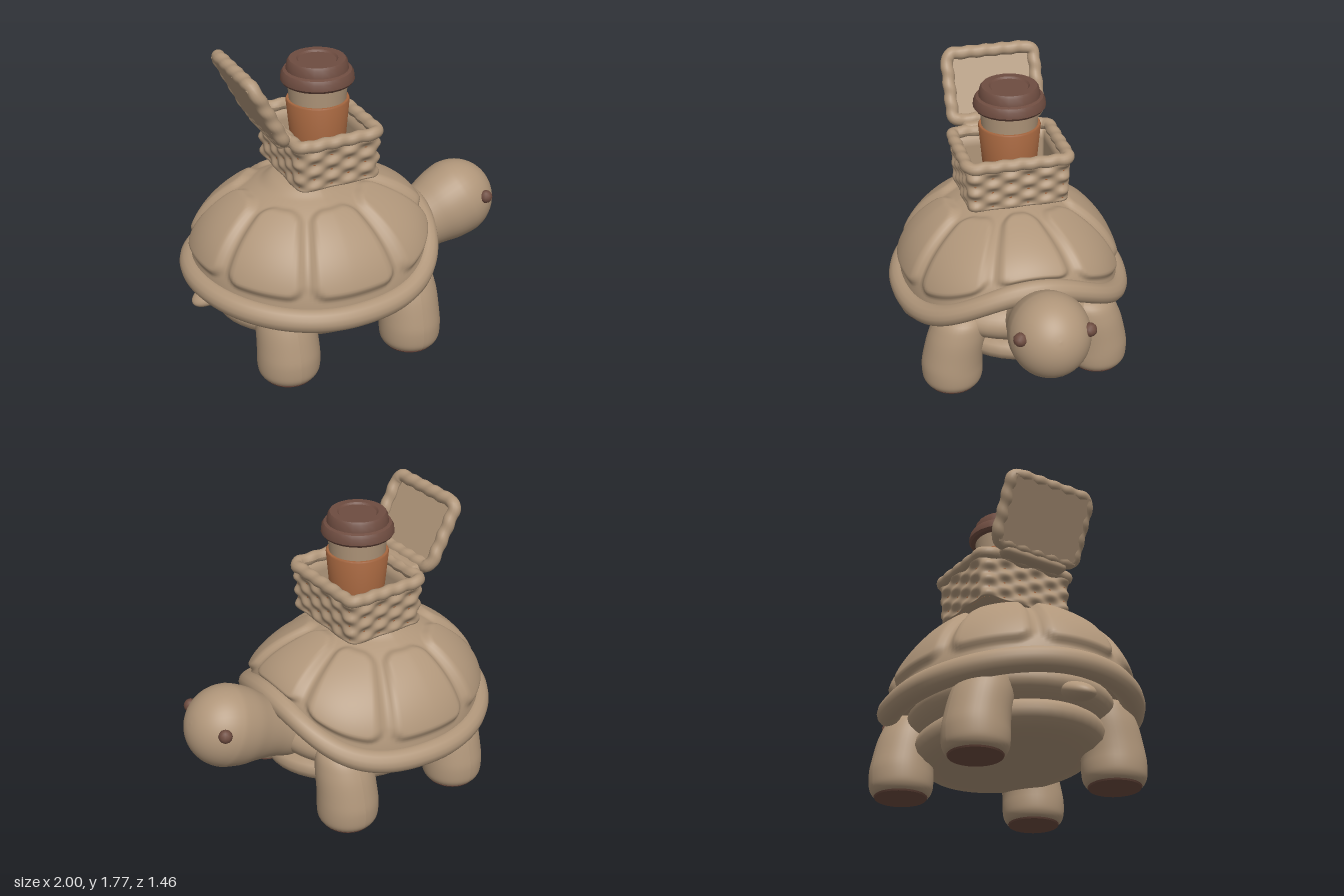
import * as THREE from 'three';
import { toCreasedNormals } from 'three/addons/utils/BufferGeometryUtils.js';
import { RoundedBoxGeometry } from 'three/addons/geometries/RoundedBoxGeometry.js';

const TAU = Math.PI * 2;
const mat = (name, color) => {
  const m = new THREE.MeshStandardMaterial({ color });
  m.name = name;
  return m;
};
const { lerp, smoothstep } = THREE.MathUtils;

// Grid wrapped around u (0..1), open along v (0..1); fn returns [x, y, z]
function wrapGrid(nu, nv, fn) {
  const pos = [], idx = [];
  for (let j = 0; j <= nv; j++)
    for (let i = 0; i < nu; i++) pos.push(...fn(i / nu, j / nv, i));
  for (let j = 0; j < nv; j++)
    for (let i = 0; i < nu; i++) {
      const k = (i + 1) % nu, a = j * nu + i, b = j * nu + k, c = a + nu, d = b + nu;
      idx.push(a, c, b, b, c, d);
    }
  const g = new THREE.BufferGeometry();
  g.setAttribute('position', new THREE.Float32BufferAttribute(pos, 3));
  g.setIndex(idx);
  g.computeVertexNormals();
  return g;
}

// Rounded rectangle in XZ as evenly spaced points with outward normals
function roundedLoop(hx, hz, r, n) {
  const s = new THREE.Shape();
  s.moveTo(hx, 0);
  s.lineTo(hx, hz - r);
  s.absarc(hx - r, hz - r, r, 0, Math.PI / 2);
  s.absarc(r - hx, hz - r, r, Math.PI / 2, Math.PI);
  s.absarc(r - hx, r - hz, r, Math.PI, Math.PI * 1.5);
  s.absarc(hx - r, r - hz, r, Math.PI * 1.5, TAU);
  s.lineTo(hx, 0);
  const pts = s.getSpacedPoints(n).slice(0, n);
  return pts.map((p, i) => {
    const t = pts[(i + 1) % n].clone().sub(pts[(i + n - 1) % n]).normalize();
    return { x: p.x, z: p.y, nx: t.y, nz: -t.x };
  });
}

// Rope-like ring following a loop, with twisted strands
function ropeRing(loop, radius, strands, amp) {
  return wrapGrid(loop.length, 14, (u, v, i) => {
    const p = loop[i], f = -Math.PI + v * TAU;
    const r = radius + amp * Math.sin(strands * u * TAU + f);
    return [p.x + p.nx * r * Math.cos(f), (p.y || 0) + r * Math.sin(f), p.z + p.nz * r * Math.cos(f)];
  });
}

const lathe = (pts, seg = 32) =>
  new THREE.LatheGeometry(pts.map(([x, y]) => new THREE.Vector2(x, y)), seg);
const smoothLathe = (pts, seg = 40, n = 36) =>
  new THREE.LatheGeometry(new THREE.SplineCurve(pts.map(([x, y]) => new THREE.Vector2(x, y)))
    .getPoints(n).map(p => new THREE.Vector2(Math.max(0, p.x), p.y)), seg);
const creasedLathe = (pts, seg) => toCreasedNormals(lathe(pts, seg), 0.6);

// Shell edge: flatter and lifted over the neck, slightly lifted at the tail
function shellEdge(u) {
  const c = Math.cos(u * TAU), s = Math.sin(u * TAU);
  const x = 0.685 * (c > 0 ? c + 0.25 * c * (1 - c * c) : c);
  return { x, z: 0.66 * s, y: 0.43 + (c > 0 ? 0.27 * c ** 3 : 0.06 * c * c) };
}

// Dome with eight padded, round-cornered plates and a raised crown
function shellGeometry() {
  return wrapGrid(176, 80, (u, v) => {
    const e = shellEdge(u);
    if (v < 0.05) {
      const k = v / 0.05;
      return [-0.25 + e.x * k, lerp(0.42, e.y, k), e.z * k];
    }
    const a = ((v - 0.05) / 0.95) * Math.PI / 2;
    const ang = Math.abs(Math.atan2(e.z, e.x));
    const gap = Math.min(...[0.36, 1.11, 1.98, 2.75].map(b => Math.abs(ang - b)));
    const corner = 0.17;
    const qx = Math.max(corner - gap * Math.cos(a) * 1.1 + 0.012, 0);
    const qy = Math.max(corner - Math.min(a - 0.15, 1.02 - a), 0);
    const inside = corner - Math.hypot(qx, qy);
    const d = 0.034 * smoothstep(inside, 0, 0.085) + 0.022 * smoothstep(a, 1.1, 1.25);
    const k = Math.cos(a) ** (1.15 + 0.35 * Math.max(0, Math.cos(u * TAU)));
    const h = Math.sin(a) ** 0.93, len = Math.hypot(e.x, e.z);
    return [
      -0.25 + e.x * k + (e.x / len) * d * k,
      lerp(e.y, 1.035, h) + d * Math.sin(a),
      e.z * k + (e.z / len) * d * k,
    ];
  });
}

export function createModel() {
  const tan = mat('tan', 0xb0967a);
  const brown = mat('brown', 0x6e4c40);
  const rust = mat('rust', 0xa5663f);
  const model = new THREE.Group();
  const add = (name, geo, m, x = 0, y = 0, z = 0, parent = model) => {
    const mesh = new THREE.Mesh(geo, m);
    mesh.name = name;
    mesh.position.set(x, y, z);
    parent.add(mesh);
    return mesh;
  };

  // Shell and its rolled rim
  add('shell', shellGeometry(), tan);
  const rimLoop = Array.from({ length: 128 }, (_, i) => {
    const e = shellEdge(i / 128), l = Math.hypot(e.x / 0.685, e.z / 0.66);
    return { x: -0.25 + e.x, y: e.y, z: e.z, nx: e.x / 0.685 / l, nz: e.z / 0.66 / l };
  });
  add('shellRim', ropeRing(rimLoop, 0.07, 0, 0), tan);

  // Body, shoulders and flat belly plate
  const ball = new THREE.SphereGeometry(1, 40, 24);
  add('body', ball, tan, -0.22, 0.43, 0).scale.set(0.64, 0.2, 0.56);
  add('shoulders', ball, tan, 0.14, 0.43, 0).scale.set(0.29, 0.16, 0.46);
  add('bellyPlate', lathe([[0, 0.16], [0.7, 0.164], [0.87, 0.18], [0.97, 0.22], [1, 0.265],
    [0.98, 0.31], [0.92, 0.335], [0, 0.36]], 48), tan, -0.19, 0, 0).scale.set(0.63, 1, 0.5);

  // Legs leaning inward at the top, with dark soles
  const legGeo = smoothLathe([[0, 0.008], [0.13, 0.008], [0.17, 0.035], [0.182, 0.1], [0.178, 0.22],
    [0.168, 0.37], [0.13, 0.47], [0, 0.52]]);
  const legPos = legGeo.attributes.position;
  for (let i = 0; i < legPos.count; i++)
    legPos.setZ(i, legPos.getZ(i) - 0.3 * Math.max(0, legPos.getY(i) - 0.15) ** 1.3);
  legGeo.computeVertexNormals();
  const soleGeo = new THREE.CylinderGeometry(0.15, 0.145, 0.009, 32);
  for (const [name, x] of [['front', 0.215], ['back', -0.57]])
    for (const side of [1, -1]) {
      const leg = new THREE.Group();
      leg.name = name + (side > 0 ? 'LegNear' : 'LegFar');
      leg.position.set(x, 0, side * 0.45);
      leg.rotation.y = side > 0 ? 0 : Math.PI;
      add('leg', legGeo, tan, 0, 0, 0, leg);
      add('sole', soleGeo, brown, 0, 0.0045, 0, leg);
      model.add(leg);
    }

  // Tail
  const tail = add('tail', ball, tan, -0.85, 0.37, 0);
  tail.scale.set(0.135, 0.052, 0.085);
  tail.rotation.z = 0.35;

  // Head and neck in one bulb, tilted upward
  const bulb = [[0.16, -0.6], [0.17, -0.42], [0.178, -0.32], [0.205, -0.2], [0.232, -0.1]];
  for (let i = 0; i <= 8; i++) {
    const a = i * Math.PI / 16;
    bulb.push([0.243 * Math.cos(a), 0.243 * Math.sin(a)]);
  }
  const head = add('headAndNeck', smoothLathe(bulb, 40, 48), tan, 0.755, 0.62, 0);
  head.rotation.z = -1.17;
  head.scale.z = 0.95;
  for (const side of [1, -1])
    add('eye', new THREE.IcosahedronGeometry(0.041, 1), brown, 0.868, 0.692, side * 0.195);

  // Woven basket: bumpy outer wall, plain inner wall
  const basket = new THREE.Group();
  basket.name = 'basket';
  basket.position.set(-0.165, 0, 0);
  model.add(basket);
  const loop = roundedLoop(0.248, 0.298, 0.05, 176);
  const offset = (p, o, y) => [p.x + p.nx * o, y, p.z + p.nz * o];
  add('basketWall', wrapGrid(176, 48, (u, v, i) => {
    const p = loop[i];
    if (v < 0.05) return [p.x * v / 0.05, 1.045, p.z * v / 0.05];
    if (v > 0.9) return offset(p, -0.035, lerp(1.34, 1.09, (v - 0.9) / 0.1));
    const t = (v - 0.05) / 0.85;
    const weave = Math.sin(10 * u * TAU) * Math.sin(t * 6 * Math.PI);
    return offset(p, 0.012 * t + 0.012 * weave, lerp(1.055, 1.33, t));
  }), tan, 0, 0, 0, basket);
  // Lining peeping through the deepest gaps of the weave
  add('wallLining', wrapGrid(176, 24, (u, v, i) =>
    offset(loop[i], 0.012 * v - 0.0113, lerp(1.055, 1.33, v))), rust, 0, 0, 0, basket);
  add('basketRim', ropeRing(loop, 0.036, 20, 0.003), tan, 0, 1.335, 0, basket);
  add('basketLining', new RoundedBoxGeometry(0.43, 0.06, 0.53, 2, 0.02), rust, 0, 1.1, 0, basket);

  // Open lid: rope frame around a recessed panel, leaning back on its hinge
  const lid = new THREE.Group();
  lid.name = 'basketLid';
  lid.position.set(-0.575, 1.553, 0);
  lid.rotation.z = 2.035;
  model.add(lid);
  add('lidFrame', ropeRing(roundedLoop(0.2, 0.267, 0.05, 150), 0.038, 18, 0.003), tan, 0, 0, 0, lid);
  add('lidPanel', new THREE.BoxGeometry(0.4, 0.025, 0.53), tan, 0, 0.022, 0, lid);
  add('lidHinge', new RoundedBoxGeometry(0.11, 0.07, 0.44, 3, 0.03), tan, -0.455, 1.345, 0);

  // Cup with sleeve and stepped lid
  const cup = new THREE.Group();
  cup.name = 'cup';
  cup.position.set(-0.165, 0, 0);
  model.add(cup);
  add('cupBody', creasedLathe([[0, 1.1], [0.135, 1.1], [0.173, 1.6], [0, 1.6]]), tan, 0, 0, 0, cup);
  add('cupSleeve', creasedLathe([[0.14, 1.15], [0.152, 1.15], [0.182, 1.475], [0.178, 1.483],
    [0.16, 1.483]]), rust, 0, 0, 0, cup);
  add('cupLid', creasedLathe([[0, 1.585], [0.2, 1.585], [0.211, 1.6], [0.207, 1.635], [0.195, 1.655],
    [0.178, 1.662], [0.171, 1.705], [0.16, 1.72], [0.118, 1.72], [0.108, 1.71], [0, 1.71]], 24),
    brown, 0, 0, 0, cup);

  return model;
}
